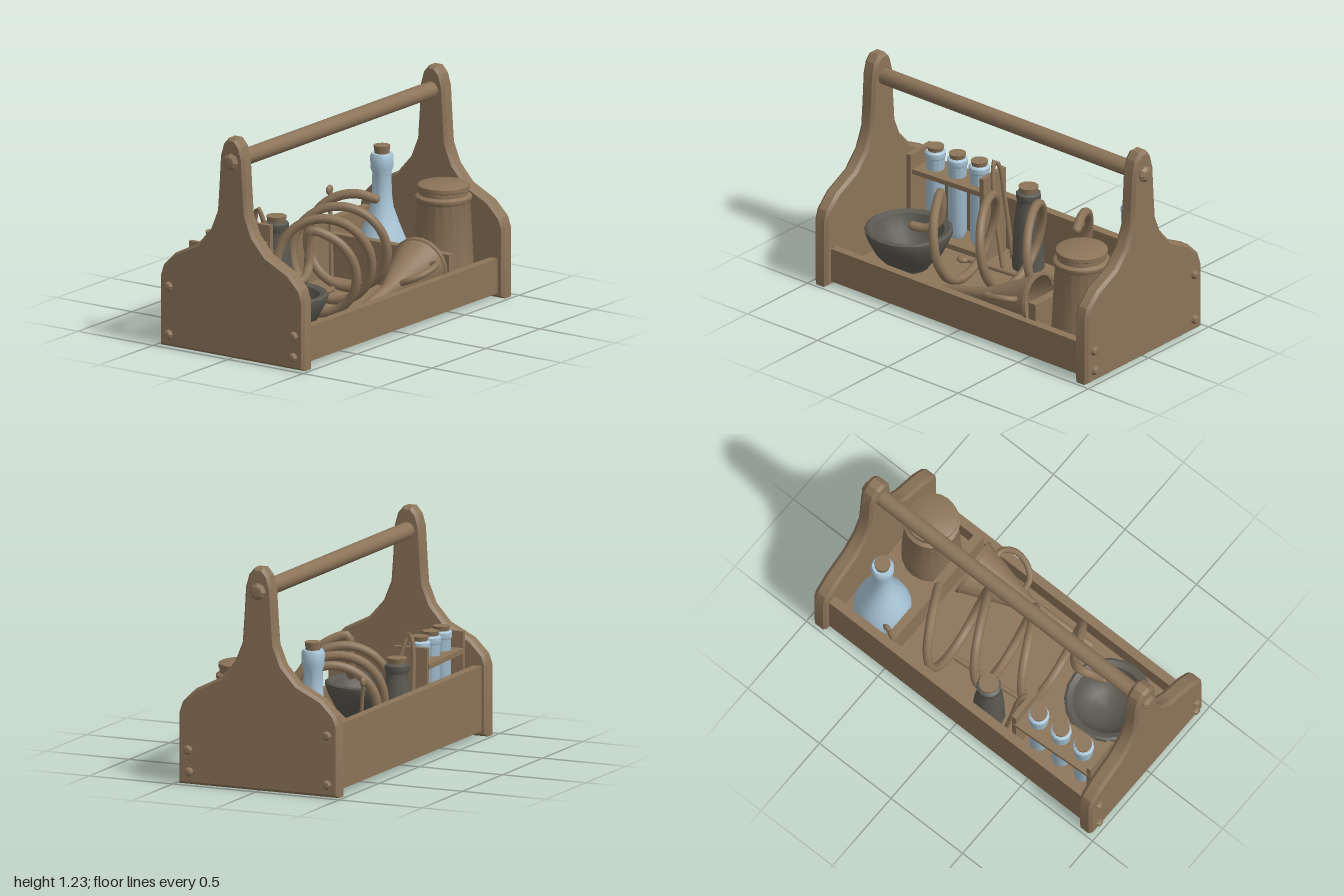
import * as THREE from 'three';
import { toCreasedNormals } from 'three/addons/utils/BufferGeometryUtils.js';

const V = (x, y, z) => new THREE.Vector3(x, y, z);
const paint = (name, color, side = THREE.FrontSide) => {
  const m = new THREE.MeshStandardMaterial({ color, side });
  m.name = name;
  return m;
};

export function createModel() {
  const wood = paint('brown wood', 0x8c7459);
  const openWood = paint('brown wood, open shapes', 0x8c7459, THREE.DoubleSide);
  const glass = paint('pale blue glass', 0xa9c6d8);
  const stone = paint('dark grey stone', 0x5a5850);
  const root = new THREE.Group();
  root.name = 'toolCaddy';

  const add = (name, geo, mat, x = 0, y = 0, z = 0, parent = root) => {
    const m = new THREE.Mesh(geo, mat);
    m.name = name;
    m.position.set(x, y, z);
    parent.add(m);
    return m;
  };
  const box = (name, w, h, d, x, y, z, parent) =>
    add(name, new THREE.BoxGeometry(w, h, d), wood, x, y, z, parent);
  const lathe = (pts, sides = 16, crease = 0.7) => toCreasedNormals(
    new THREE.LatheGeometry(pts.map(p => new THREE.Vector2(...p)), sides), crease);
  const cylinder = (r0, r1, h, sides = 12) => toCreasedNormals(
    new THREE.CylinderGeometry(r1, r0, h, sides), 0.8);
  // Point the y axis of a mesh from a towards b
  const aim = (mesh, a, b) => mesh.quaternion.setFromUnitVectors(V(0, 1, 0), b.clone().sub(a).normalize());
  const rod = (name, a, b, r0, r1) => {
    const c = a.clone().lerp(b, 0.5);
    const m = add(name, cylinder(r0, r1, a.distanceTo(b), 8), wood, c.x, c.y, c.z);
    aim(m, a, b);
  };
  const tube = (name, pts, r, steps) => {
    const path = new THREE.CatmullRomCurve3(pts);
    add(name, new THREE.TubeGeometry(path, steps, r, 8), openWood);
    // rounded tips
    for (const p of [pts[0], pts[pts.length - 1]])
      add(name + 'Tip', new THREE.SphereGeometry(r, 8, 6), wood, p.x, p.y, p.z);
  };

  // Shaped end panels with chamfered edges
  const half = [[0.48, 0], [0.48, 0.39], [0.46, 0.45], [0.38, 0.53], [0.23, 0.605], [0.145, 0.7],
    [0.1, 0.81], [0.09, 0.95], [0.08, 1.12], [0.06, 1.19], [0.025, 1.23]];
  const outline = [...half, ...half.map(([z, y]) => [-z, y]).reverse()];
  const panel = new THREE.ExtrudeGeometry(new THREE.Shape(outline.map(p => new THREE.Vector2(...p))), {
    depth: 0.054, bevelEnabled: true, bevelSegments: 1, bevelThickness: 0.018, bevelSize: 0.015, bevelOffset: -0.015,
  });
  panel.translate(0, 0, -0.027).rotateY(Math.PI / 2);
  const panelGeo = toCreasedNormals(panel, 0.4);
  const knobGeo = r => lathe([[r, 0], [r, 0.01], [r * 0.65, 0.026], [0, 0.03]], 8, 0.5);
  for (const s of [1, -1]) {
    add(s > 0 ? 'leftEndPanel' : 'rightEndPanel', panelGeo, wood, s * 0.927);
    for (const [z, y] of [[0.42, 0.19], [0.415, 0.07], [-0.415, 0.34], [-0.415, 0.07]])
      add('peg', knobGeo(0.027), wood, s * 0.965, y, z).rotation.z = -s * Math.PI / 2;
    add('handleCap', knobGeo(0.048), wood, s * 0.97, 1.1, 0).rotation.z = -s * Math.PI / 2;
  }

  // Tray boards, divider and carrying bar
  box('frontBoard', 1.78, 0.195, 0.05, 0, 0.125, 0.418);
  box('backBoard', 1.78, 0.36, 0.05, 0, 0.21, -0.425);
  box('floor', 1.78, 0.05, 0.82, 0, 0.055, 0);
  box('divider', 0.05, 0.24, 0.8, 0.515, 0.2, 0);
  add('handleBar', cylinder(0.046, 0.046, 1.9), wood, 0, 1.1, 0).rotation.z = Math.PI / 2;

  // Mortar bowl
  add('bowl', lathe([[0, 0.08], [0.11, 0.08], [0.12, 0.1], [0.18, 0.16], [0.222, 0.24], [0.24, 0.285], [0.24, 0.305],
    [0.225, 0.313], [0.195, 0.3], [0.17, 0.22], [0.11, 0.15], [0, 0.13]], 20), stone, -0.62, 0, 0.1);

  // Lidded jar
  add('jar', lathe([[0, 0.08], [0.165, 0.08], [0.163, 0.2], [0.146, 0.55], [0.155, 0.565], [0.155, 0.58], [0.135, 0.592],
    [0.135, 0.615], [0.142, 0.62], [0.142, 0.642], [0.13, 0.648], [0, 0.648]], 20, 0.6), wood, 0.705, 0, 0.21);

  // Conical flask
  add('flask', lathe([[0, 0.08], [0.14, 0.08], [0.16, 0.115], [0.158, 0.17], [0.135, 0.26], [0.095, 0.36], [0.064, 0.45],
    [0.055, 0.52], [0.052, 0.64], [0.062, 0.67], [0.064, 0.735], [0.056, 0.752], [0, 0.752]], 18, 0.8), glass, 0.71, 0, -0.205);
  add('flaskCork', cylinder(0.038, 0.046, 0.06), wood, 0.71, 0.765, -0.205);

  // Dark bottle
  add('darkBottle', lathe([[0, 0.08], [0.09, 0.08], [0.088, 0.2], [0.08, 0.34], [0.066, 0.44], [0.06, 0.48],
    [0.068, 0.495], [0.068, 0.525], [0.055, 0.535], [0, 0.535]], 12), stone, -0.12, 0, -0.31);
  add('bottleCork', cylinder(0.046, 0.056, 0.05), wood, -0.12, 0.54, -0.31);

  // Rack of test tubes
  const rack = new THREE.Group();
  rack.name = 'tubeRack';
  rack.position.set(-0.6, 0, -0.28);
  rack.rotation.y = 0.05;
  root.add(rack);
  box('rackShelf', 0.5, 0.028, 0.19, 0, 0.475, 0, rack);
  box('rackBase', 0.5, 0.03, 0.19, 0, 0.1, 0, rack);
  for (const s of [1, -1]) box('rackUpright', 0.028, 0.5, 0.2, s * 0.25, 0.33, 0.01, rack);
  for (const x of [-0.15, 0, 0.15]) {
    add('testTube', lathe([[0, 0.11], [0.035, 0.12], [0.052, 0.155], [0.052, 0.55], [0.058, 0.56], [0.058, 0.588],
      [0.048, 0.597], [0, 0.597]], 12), glass, x, 0, 0, rack);
    add('tubeCork', cylinder(0.038, 0.048, 0.045), wood, x, 0.6, 0, rack);
  }

  // Coiled hose: a leaning helix with a loose end over the bowl
  const coil = [V(-0.54, 0.365, 0.16), V(-0.47, 0.365, 0.135), V(-0.41, 0.4, 0.11), V(-0.385, 0.5, 0.1)];
  for (let t = -0.74; t < 2.36; t += 0.0625) {
    const a = t * Math.PI * 2, s = -Math.cos(a);
    coil.push(V(-0.195 + 0.26 * t + 0.075 * s, 0.355 + 0.245 * Math.sin(a), 0.037 - 0.085 * t + 0.237 * s));
  }
  tube('coiledHose', coil, 0.026, 200);

  // Funnel lying on its side, with a strap handle
  const tip = V(-0.32, 0.13, 0.33), mouth = V(0.46, 0.25, 0.24);
  const funnel = add('funnel', new THREE.LatheGeometry([[0.02, 0], [0.022, 0.02], [0.042, 0.41], [0.155, 0.76],
    [0.165, 0.765], [0.165, 0.785], [0.152, 0.785]].map(p => new THREE.Vector2(...p)), 20), openWood, tip.x, tip.y, tip.z);
  funnel.geometry = toCreasedNormals(funnel.geometry, 0.6);
  aim(funnel, tip, mouth);
  tube('funnelHandle', [V(0.15, 0.22, 0.31), V(0.16, 0.25, 0.38), V(0.22, 0.28, 0.43), V(0.31, 0.305, 0.44),
    V(0.37, 0.3, 0.4), V(0.37, 0.28, 0.34)], 0.018, 24);

  // Tongs leaning by the rack
  tube('tongs', [V(-0.21, 0.09, -0.2), V(-0.27, 0.35, -0.22), V(-0.32, 0.58, -0.25), V(-0.335, 0.66, -0.28),
    V(-0.32, 0.62, -0.305), V(-0.3, 0.45, -0.32), V(-0.25, 0.09, -0.33)], 0.013, 36);

  // Spoon lying on the floor, and one leaning on the back board
  rod('lyingSpoonStem', V(-0.42, 0.1, -0.12), V(0.22, 0.1, -0.18), 0.012, 0.016);
  add('lyingSpoonBowl', new THREE.SphereGeometry(0.038, 10, 8), wood, -0.42, 0.1, -0.12).scale.y = 0.5;
  rod('leaningSpoonStem', V(0.46, 0.09, -0.36), V(0.51, 0.55, -0.408), 0.012, 0.011);
  add('leaningSpoonBowl', new THREE.SphereGeometry(0.028, 10, 8), wood, 0.51, 0.555, -0.41).scale.z = 0.55;

  return root;
}
